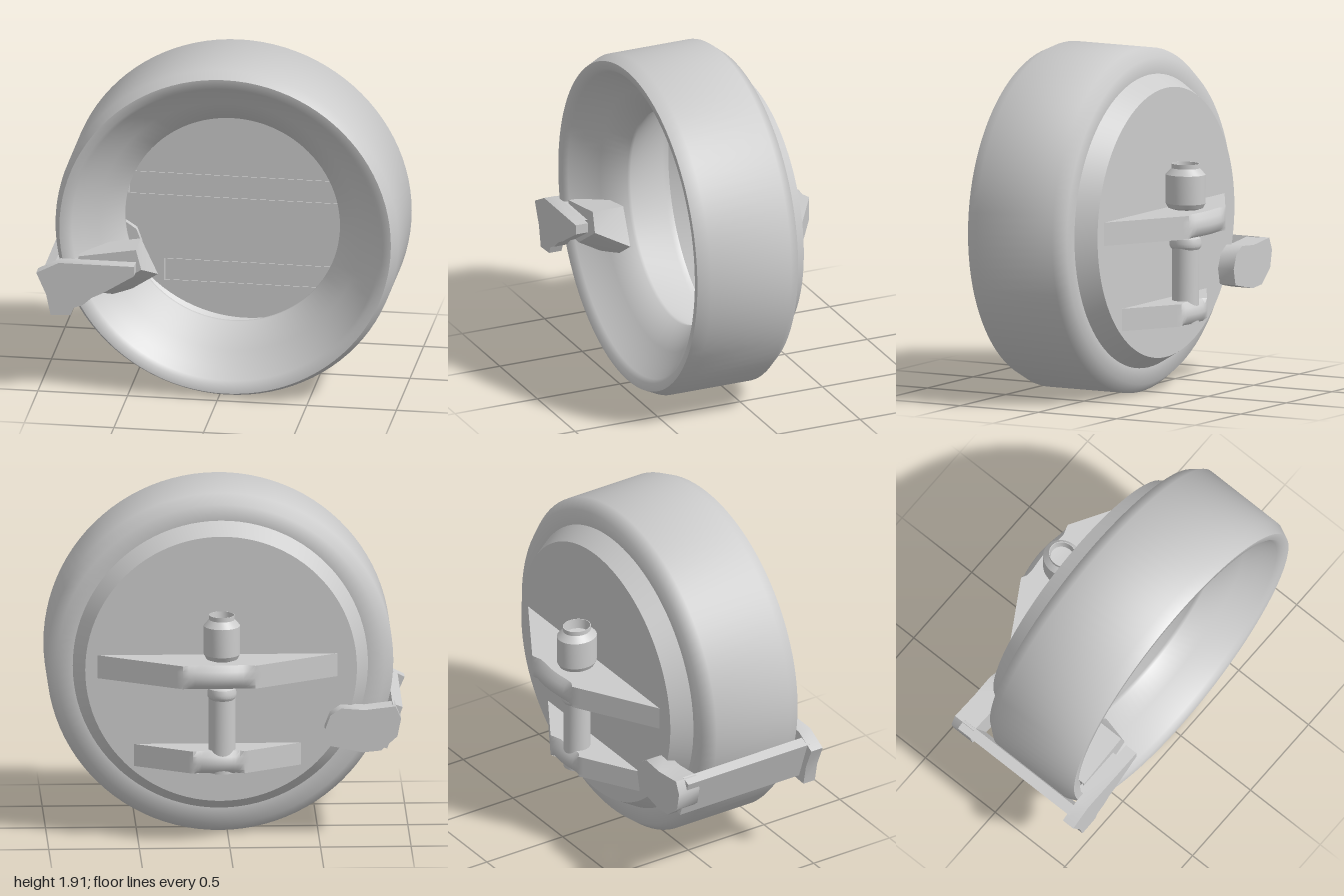
import * as THREE from 'three';
import { toCreasedNormals } from 'three/addons/utils/BufferGeometryUtils.js';

const CX = 0.04, CY = 0.957;
const mat = new THREE.MeshStandardMaterial({ color: 0xcccccc, side: THREE.DoubleSide });
const vecs = (pts) => pts.map(([x, y]) => new THREE.Vector2(x, y));

function add(parent, name, geo, crease = 0.6) {
  const mesh = new THREE.Mesh(toCreasedNormals(geo, crease), mat);
  mesh.name = name;
  parent.add(mesh);
  return mesh;
}

// Turned part whose axis runs along z; profile points are [radius, z]
function turned(parent, name, pts, crease) {
  const geo = new THREE.LatheGeometry(vecs(pts), 96);
  geo.rotateX(Math.PI / 2);
  add(parent, name, geo, crease).position.set(CX, CY, 0);
}

// Flat outline in x, y given a thickness from z0 to z1
function slab(pts, z0, z1) {
  const geo = new THREE.ExtrudeGeometry(new THREE.Shape(vecs(pts)), { depth: z1 - z0, bevelEnabled: false });
  return geo.translate(0, 0, z0);
}

// Horizontal bow-shaped bracket: straight arms and a rounded middle
function bracket(parent, name, half, reach, y0, y1) {
  const base = 0.25, ax = half * 0.3, az = base + (reach - base) * 0.9;
  const levels = [[0, 0.03], [0.15, 0.01], [0.45, 0], [0.75, 0.012], [1, 0.04]];
  const rows = 41, pos = [], idx = [];
  for (const [t, inset] of levels) {
    for (let i = 0; i < rows; i++) {
      const x = (i / (rows - 1) * 2 - 1) * half, a = Math.abs(x);
      const z = a > ax
        ? base + (az - base) * (half - a) / (half - ax)
        : az + (reach - az) * (1 - (a / ax) ** 2);
      const soft = Math.max(0, 1 - (a / ax) ** 6);
      pos.push(0.06 + x, y0 + (y1 - y0) * t, -(z - inset * soft));
    }
  }
  for (let l = 0; l < levels.length - 1; l++) {
    for (let i = 0; i < rows - 1; i++) {
      const a = l * rows + i, b = a + rows;
      idx.push(a, b, a + 1, a + 1, b, b + 1);
    }
  }
  // Lower and upper faces as fans from one end
  const last = (levels.length - 1) * rows;
  for (let i = 1; i < rows - 1; i++) {
    idx.push(0, i, i + 1, last, last + i + 1, last + i);
  }
  const geo = new THREE.BufferGeometry();
  geo.setAttribute('position', new THREE.Float32BufferAttribute(pos, 3));
  geo.setIndex(idx);
  add(parent, name, geo, 0.7);
}

export function createModel() {
  const model = new THREE.Group();
  model.name = 'roundHatch';

  // Thick ring with a dished opening
  turned(model, 'ring', [
    [0.6, 0.18], [0.81, -0.11], [0.81, -0.145], [0.905, -0.15], [0.957, -0.085],
    [0.957, 0.4], [0.925, 0.47], [0.88, 0.465], [0.86, 0.44],
    [0.81, 0.38], [0.73, 0.305], [0.6, 0.2], [0.6, 0.18],
  ], 1.1);

  // Shallow lid on the back
  turned(model, 'lid', [[0, -0.255], [0.75, -0.255], [0.815, -0.145]], 0.4);

  // Two hinge brackets
  bracket(model, 'upperBracket', 0.67, 0.56, 0.91, 1.04);
  bracket(model, 'lowerBracket', 0.47, 0.47, 0.41, 0.535);

  // Round hinge pin, then its collar and hollow knob, slightly oval
  const pin = add(model, 'hingePin', new THREE.CylinderGeometry(0.075, 0.075, 0.425, 40));
  pin.position.set(CX, 0.6175, -0.38);
  const knob = add(model, 'collarAndKnob', new THREE.LatheGeometry(vecs([
    [0, 0.82], [0.08, 0.82], [0.09, 0.835], [0.092, 0.855],
    [0.085, 0.88], [0.07, 0.89], [0.07, 1.04], [0.1, 1.05], [0.114, 1.075], [0.114, 1.235],
    [0.08, 1.27], [0.08, 1.295], [0.076, 1.295], [0.07, 1.24], [0, 1.235],
  ]), 40), 0.5);
  knob.scale.x = 0.88;
  knob.position.set(CX, 0, -0.38);

  // Clamp gripping the ring from front to back
  const clamp = new THREE.Group();
  clamp.name = 'clamp';
  model.add(clamp);
  add(clamp, 'frontPlate', slab([
    [-1, 0.72], [-0.945, 0.595], [-0.92, 0.475], [-0.81, 0.48], [-0.79, 0.525], [-0.74, 0.545],
    [-0.69, 0.59], [-0.63, 0.62], [-0.455, 0.73], [-0.455, 0.785], [-0.875, 0.785],
  ], 0.485, 0.56));

  // Inner jaw, its lower side sloping in toward the front
  const jaw = slab([
    [-0.78, 0.79], [-0.73, 0.57], [-0.66, 0.5], [-0.58, 0.5], [-0.365, 0.64], [-0.46, 0.845],
  ], 0.27, 0.455);
  const p = jaw.attributes.position;
  for (let i = 0; i < p.count; i++) {
    if (p.getZ(i) > 0.4 && p.getY(i) < 0.7) p.setXY(i, p.getX(i) - 0.065, p.getY(i) + 0.09);
  }
  add(clamp, 'innerJaw', jaw);
  add(clamp, 'jawNeck', slab([[-0.82, 0.77], [-0.78, 0.66], [-0.6, 0.67], [-0.53, 0.77]], 0.44, 0.49));

  // Rounded rear jaw and the strap joining both ends
  add(clamp, 'backJaw', slab([
    [-0.95, 0.69], [-0.92, 0.76], [-0.75, 0.74], [-0.62, 0.75], [-0.56, 0.71], [-0.53, 0.63],
    [-0.55, 0.54], [-0.74, 0.5], [-0.84, 0.51], [-0.93, 0.59],
  ], -0.355, -0.22), 0.75);
  const strap = add(clamp, 'strap', new THREE.BoxGeometry(0.06, 0.25, 0.8));
  strap.position.set(-0.89, 0.635, 0.1);
  strap.rotation.z = 0.35;

  return model;
}
